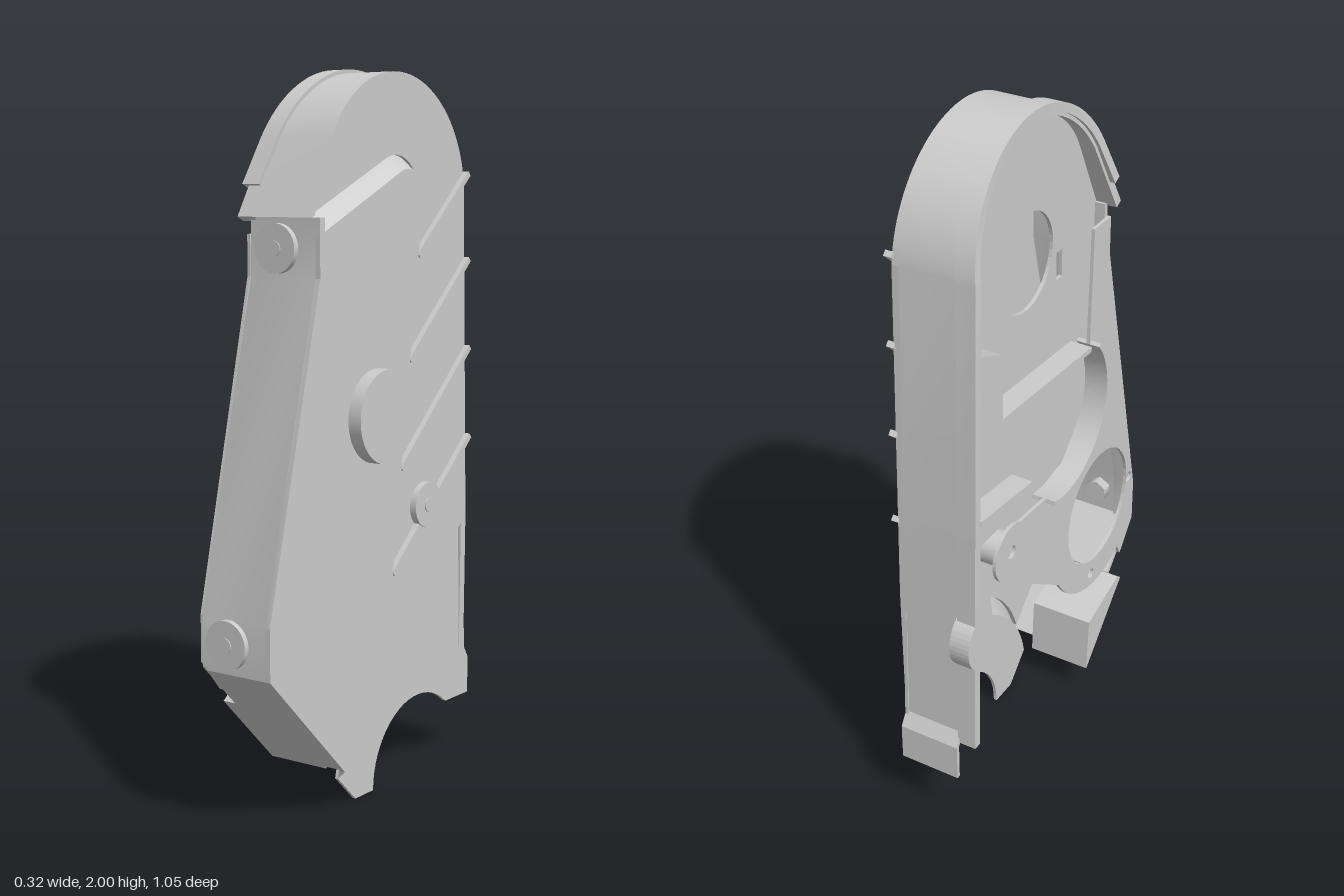
import * as THREE from 'three';
import { toCreasedNormals } from 'three/addons/utils/BufferGeometryUtils.js';

const material = new THREE.MeshStandardMaterial({ color: 0xcccccc, side: THREE.DoubleSide });

// All profiles are [z, y] pairs; x is the depth of the cover.
function arc(cz, cy, r, from, to, n = 16) {
  return Array.from({ length: n + 1 }, (_, i) => {
    const a = THREE.MathUtils.degToRad(from + ((to - from) * i) / n);
    return [cz + r * Math.cos(a), cy + r * Math.sin(a)];
  });
}

const circle = (z, y, r) => arc(z, y, r, 0, 351, 39);

function toShape(points) {
  return new THREE.Shape(points.map(([z, y]) => new THREE.Vector2(-z, y)));
}

export function createModel() {
  const group = new THREE.Group();

  function add(name, geometry) {
    const mesh = new THREE.Mesh(geometry, material);
    mesh.name = name;
    group.add(mesh);
  }

  // Flat plate with its profile in the z-y plane, from x0 to x1
  function plate(name, points, x0, x1, holes = []) {
    const shape = toShape(points);
    holes.forEach((h) => shape.holes.push(toShape(h)));
    const g = new THREE.ExtrudeGeometry(shape, { depth: x1 - x0, bevelEnabled: false });
    add(name, g.rotateY(Math.PI / 2).translate(x0, 0, 0));
  }

  // Quads between rings of equal length
  function loft(rings, closed) {
    const n = rings[0].length, index = [];
    for (let i = 0; i < rings.length - 1; i++) {
      for (let j = 0; j < (closed ? n : n - 1); j++) {
        const a = i * n + j, b = i * n + ((j + 1) % n);
        index.push(a, b, b + n, a, b + n, a + n);
      }
    }
    const g = new THREE.BufferGeometry();
    g.setAttribute('position', new THREE.Float32BufferAttribute(rings.flat(2), 3));
    g.setIndex(index);
    return g;
  }

  // Wall of given thickness along a path; thickness grows to the path's left
  function wall(name, path, x0, x1, t) {
    const value = (x, y) => (typeof x === 'function' ? x(y) : x);
    const rings = path.map(([z, y], i) => {
      const p = path[Math.max(i - 1, 0)], q = path[Math.min(i + 1, path.length - 1)];
      const dz = q[0] - p[0], dy = q[1] - p[1], l = Math.hypot(dz, dy);
      const iz = z - (dy / l) * t, iy = y + (dz / l) * t;
      const a = value(x0, y), b = value(x1, y);
      return [[a, y, z], [b, y, z], [b, iy, iz], [a, iy, iz]];
    });
    const g = loft(rings, true);
    const e = (rings.length - 1) * 4;
    g.setIndex([...g.index.array, 0, 2, 1, 0, 3, 2, e, e + 1, e + 2, e, e + 2, e + 3]);
    add(name, toCreasedNormals(g.toNonIndexed(), 0.5));
  }

  // Disc or pin along x
  function pin(name, z, y, r, x0, x1, sides = 40) {
    const g = new THREE.CylinderGeometry(r, r, x1 - x0, sides).rotateZ(Math.PI / 2);
    add(name, g.translate((x0 + x1) / 2, y, z));
  }

  // Raised front section: sloped border and flat face
  const baseTop = [[0.295, 1.605], ...arc(-0.103, 1.655, 0.113, 67, 187, 10)];
  const baseArch = arc(-0.24, 0, 0.4, 59, 11.5, 10);
  const base = [...baseTop, ...baseArch];
  const face = [
    [0.295, 1.56], ...arc(-0.103, 1.655, 0.075, 67, 187, 10), ...arc(-0.24, 0, 0.445, 58, 15.5, 10),
  ];
  const frontEdge = [[0.51, 0.44], [0.51, 0.58], [0.295, 1.45]];
  const border = loft([base.map(([z, y]) => [0.07, y, z]), face.map(([z, y]) => [0.12, y, z])], false);
  add('raisedBorder', toCreasedNormals(border.toNonIndexed(), 0.5));
  plate('raisedFace', [...face, ...frontEdge], 0.105, 0.12);

  // Rear side panel and lower panel with the round cut-out
  const dome = arc(-0.11, 1.648, 0.342, 28, 173, 40);
  plate('sidePanel', [
    [0.295, 1.605], ...dome, [-0.475, 0.72], baseArch[0], ...baseTop.slice(1).reverse(),
  ], 0.06, 0.08);
  plate('lowerPanel', [
    [-0.475, 0.72], [-0.49, 0.3], [-0.51, 0.28], [-0.51, 0.17], [-0.39, 0.17],
    ...arc(-0.24, 0, 0.225, 130, 0, 20), [0.07, 0], ...[...baseArch].reverse(),
  ], 0.06, 0.07);

  // Outer wall over the top and down the back; its open edge leans in at the top
  const edge = (y) => -0.16 + 0.04 * Math.max(0, (y - 1.69) / 0.31);
  wall('outerWall', [[0.295, 1.605], ...dome, [-0.475, 0.72], [-0.485, 0.3]],
    (y) => edge(y) + 0.01, (y) => (y < 0.5 ? 0.07 : 0.08), 0.025);
  const lip = arc(-0.11, 1.648, 0.352, 28, 173, 40);
  wall('rimLip', [[0.262, 1.69], ...lip, [-0.485, 0.72], [-0.495, 0.29]],
    edge, (y) => edge(y) + 0.055, 0.025);
  wall('rearFlange', [[-0.485, 0.32], [-0.51, 0.28], [-0.51, 0.17]], -0.11, 0.07, 0.012);
  plate('rearBulge', arc(-0.425, 0.635, 0.095, 110, 250), -0.16, -0.1);

  // Front wall with its inner lip
  wall('frontWall', [...frontEdge, [0.295, 1.605]], -0.09, 0.12, 0.02);
  wall('frontInnerLip', [[0.49, 0.44], [0.49, 0.58], [0.277, 1.45], [0.277, 1.6]], -0.12, -0.07, 0.015);

  // Diagonal skirt and wedge below the front wall
  plate('lowerWedge', [[0.15, 0.1], [0.36, 0.31], [0.34, 0.325], [0.16, 0.27]], -0.16, 0.03);
  wall('upperSkirt', [[0.36, 0.31], [0.49, 0.44]], -0.12, 0.07, 0.015);
  wall('skirtEdge', [[0.185, 0.12], [0.51, 0.44]], 0.03, 0.12, 0.015);

  // Inner mounting plate with a large round hole and an arm to the rear bolt
  const bay = arc(0, 1.07, 0.23, 40, -105, 24);
  plate('mountingPlate', [
    [0.41, 0.36], [0.485, 0.45], [0.485, 0.58], [0.28, 1.45], [0.28, 1.56], [0.19, 1.56],
    ...bay, ...arc(-0.245, 0.785, 0.085, 60, 230), ...arc(0.255, 0.63, 0.27, 210, 300),
  ], -0.13, -0.12, [circle(0.255, 0.63, 0.18), circle(-0.245, 0.785, 0.02),
    circle(0.45, 0.62, 0.016), circle(0.22, 0.405, 0.016), circle(0.2, 0.86, 0.016)]);

  // Shallow inner panel closing the upper half, with a shaft hole and a slot
  plate('innerPanel', [
    [0.275, 1.6], ...arc(-0.11, 1.648, 0.32, 28, 173, 30), [-0.445, 0.85], [-0.06, 0.85],
    [0.1, 0.86], [0.24, 1.0], [0.24, 1.2], [0.275, 1.4],
  ], -0.09, -0.08, [circle(-0.1, 1.58, 0.135), [[0.055, 1.46], [0.085, 1.46], [0.085, 1.54], [0.055, 1.54]]]);

  // Shallow ribs and stop block standing on the inner panel
  wall('curvedRib', bay, -0.16, -0.085, 0.012);
  wall('upperCrossRib', [[-0.36, 1.25], [0.14, 1.22]], -0.155, -0.085, 0.015);
  wall('lowerCrossRib', [[-0.44, 1.0], [-0.18, 0.97]], -0.155, -0.085, 0.015);
  plate('stopBlock', [[-0.44, 1.25], [-0.33, 1.25], [-0.33, 1.45], [-0.44, 1.5]], -0.155, -0.085);

  // Knob, rear bolt boss and slanted ribs
  pin('knob', 0.045, 1.073, 0.128, 0.12, 0.16, 48);
  pin('sideBoss', -0.245, 0.785, 0.065, 0.07, 0.1);
  pin('sideBolt', -0.245, 0.785, 0.02, 0.09, 0.104, 20);
  pin('bossColumn', -0.245, 0.785, 0.05, -0.12, 0.07);
  for (const [z0, y0, z1, y1] of [
    [-0.19, 1.5, -0.448, 1.725], [-0.15, 1.21, -0.453, 1.48],
    [-0.11, 0.91, -0.46, 1.225], [-0.07, 0.62, -0.466, 0.965],
  ]) wall('slantedRib', [[z0, y0], [z1, y1]], 0.075, 0.097, 0.016);

  // Front bolt bosses, each with a nut inside
  for (const [y, z] of [[1.525, 0.302], [0.52, 0.515]]) {
    const parts = [['frontBoss', 0.065, 0.02, 0, 40], ['frontBolt', 0.02, 0.026, 0, 20], ['innerNut', 0.035, 0.03, -0.04, 6]];
    for (const [name, r, depth, dz, sides] of parts) {
      const g = new THREE.CylinderGeometry(r, r, depth, sides).rotateX(Math.PI / 2);
      add(name, g.translate(-0.015, y, z + dz));
    }
  }
  return group;
}
